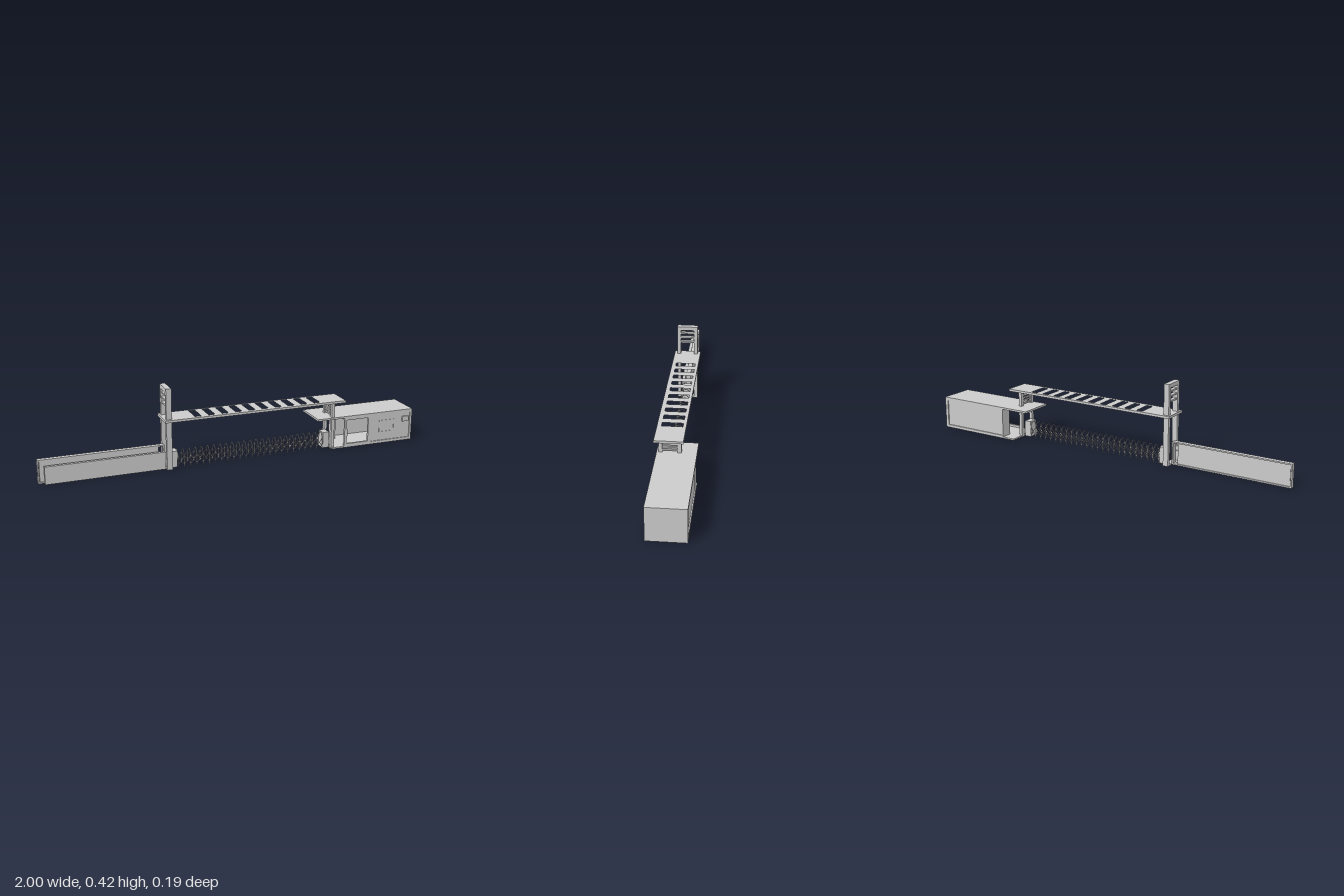
import * as THREE from 'three';

const material = new THREE.MeshStandardMaterial({ color: 0xcccccc, flatShading: true });

// Box given by its limits on each axis
function block(parent, name, x0, x1, y0, y1, z0, z1) {
  const mesh = new THREE.Mesh(new THREE.BoxGeometry(x1 - x0, y1 - y0, z1 - z0), material);
  mesh.position.set((x0 + x1) / 2, (y0 + y1) / 2, (z0 + z1) / 2);
  mesh.name = name;
  parent.add(mesh);
  return mesh;
}

// Four bars round a rectangle facing z
function frame(parent, name, x0, x1, y0, y1, z0, z1, t) {
  block(parent, name, x0, x0 + t, y0, y1, z0, z1);
  block(parent, name, x1 - t, x1, y0, y1, z0, z1);
  block(parent, name, x0 + t, x1 - t, y0, y0 + t, z0, z1);
  block(parent, name, x0 + t, x1 - t, y1 - t, y1, z0, z1);
}

function group(parent, name) {
  const g = new THREE.Group();
  g.name = name;
  parent.add(g);
  return g;
}

// Two posts joined by a head beam and rungs
function ladderFrame(parent, name, x0, x1, top, beam, rungs) {
  const g = group(parent, name);
  block(g, 'frontPost', x0, x1, 0, top, 0.064, 0.082);
  block(g, 'backPost', x0, x1, 0, top, -0.025, -0.006);
  block(g, 'headBeam', x0, x1, top - beam, top, -0.006, 0.064);
  for (const y of rungs) block(g, 'rung', x0 + 0.004, x1 - 0.004, y - 0.004, y + 0.004, -0.006, 0.064);
}

// Thin round bar between two points
function bar(parent, name, a, b, r) {
  const d = b.clone().sub(a);
  const mesh = new THREE.Mesh(new THREE.CylinderGeometry(r, r, d.length(), 5), material);
  mesh.position.copy(a).add(b).multiplyScalar(0.5);
  mesh.quaternion.setFromUnitVectors(new THREE.Vector3(0, 1, 0), d.normalize());
  mesh.name = name;
  parent.add(mesh);
}

function buildWall(root) {
  const g = group(root, 'boundaryWall');
  block(g, 'wallPanel', -0.99, -0.4, 0.005, 0.115, 0.022, 0.034);
  frame(g, 'wallFrame', -1, -0.37, 0, 0.12, 0.016, 0.04, 0.007);
  block(g, 'frontPanel', -0.97, -0.37, 0, 0.09, 0.046, 0.062);
  block(g, 'panelLink', -0.96, -0.38, 0.02, 0.07, 0.034, 0.046);
}

function buildCanopy(root) {
  const shape = new THREE.Shape();
  const rect = (path, x0, x1, z0, z1) => {
    path.moveTo(x0, -z0);
    path.lineTo(x1, -z0);
    path.lineTo(x1, -z1);
    path.lineTo(x0, -z1);
    path.closePath();
  };
  rect(shape, -0.38, 0.597, -0.039, 0.098);
  for (let i = 0; i < 10; i++) {
    const hole = new THREE.Path();
    const x = -0.222 + i * 0.0718;
    rect(hole, x, x + 0.033, -0.024, 0.077);
    shape.holes.push(hole);
  }
  const geometry = new THREE.ExtrudeGeometry(shape, { depth: 0.012, bevelEnabled: false });
  geometry.rotateX(-Math.PI / 2);
  const mesh = new THREE.Mesh(geometry, material);
  mesh.position.y = 0.25;
  mesh.name = 'slottedCanopy';
  root.add(mesh);
}

function buildGate(root) {
  const g = group(root, 'foldingGate');
  const x0 = -0.305, x1 = 0.49, cells = 24, step = (x1 - x0) / cells;
  const zBack = 0.004, zFront = 0.054;
  block(g, 'motorBox', -0.34, -0.308, 0, 0.085, zBack, zFront);
  block(g, 'endBox', 0.492, 0.527, 0, 0.085, zBack, zFront);
  // Arched hoops across the gate
  const arch = new THREE.CatmullRomCurve3([
    [0, 0, zBack], [0, 0.045, zBack], [0, 0.072, 0.012], [0, 0.084, 0.029],
    [0, 0.072, 0.046], [0, 0.045, zFront], [0, 0, zFront],
  ].map((p) => new THREE.Vector3(...p)));
  const hoop = new THREE.TubeGeometry(arch, 18, 0.0022, 5);
  for (let i = 0; i <= cells; i++) {
    const mesh = new THREE.Mesh(hoop, material);
    mesh.position.x = x0 + i * step;
    mesh.name = 'hoop';
    g.add(mesh);
  }
  // Scissor bars on both faces
  for (const z of [zBack, zFront]) {
    for (let i = 0; i < cells; i++) {
      const a = x0 + i * step, b = a + step;
      for (const [ya, yb] of [[0.01, 0.058], [0.058, 0.01]]) {
        bar(g, 'scissorBar', new THREE.Vector3(a, ya, z), new THREE.Vector3(b, yb, z), 0.0014);
      }
    }
  }
}

function buildGuardHouse(root) {
  const g = group(root, 'guardHouse');
  const zb = -0.097, zf = 0.091, top = 0.162;
  block(g, 'floor', 0.53, 1, 0, 0.008, zb, zf);
  block(g, 'roof', 0.445, 1, top, 0.172, zb, zf);
  block(g, 'endWall', 0.99, 1, 0.008, top, zb, zf);
  // Back wall with a recessed panel
  block(g, 'backPanel', 0.605, 0.99, 0.008, top, zb + 0.006, zb + 0.012);
  frame(g, 'backFrame', 0.6, 0.99, 0.008, top, zb, zb + 0.012, 0.007);
  // Front wall with its recessed panel, window and vent box
  block(g, 'frontPanel', 0.755, 0.99, 0.008, top, zf - 0.012, zf - 0.005);
  frame(g, 'frontFrame', 0.75, 0.995, 0.008, top, zf - 0.012, zf, 0.007);
  frame(g, 'windowFrame', 0.805, 0.895, 0.06, 0.125, zf - 0.005, zf - 0.003, 0.003);
  block(g, 'ventBox', 0.942, 0.978, 0.107, 0.135, zf - 0.005, zf + 0.004);
  // Open doorway
  frame(g, 'doorFrame', 0.6, 0.75, 0.008, top, zf - 0.012, zf, 0.012);
  block(g, 'doorHandle', 0.612, 0.616, 0.05, 0.1, zf - 0.006, zf);
  // Open side wall
  block(g, 'sideJamb', 0.6, 0.61, 0.008, top, zb + 0.012, zb + 0.06);
  block(g, 'sideLintel', 0.6, 0.61, 0.15, top, zb + 0.06, zf - 0.012);
}

export function createModel() {
  const root = new THREE.Group();
  root.name = 'gateEntrance';
  buildWall(root);
  ladderFrame(root, 'tower', -0.37, -0.342, 0.418, 0.02, [0.328, 0.354, 0.379]);
  ladderFrame(root, 'canopySupport', 0.526, 0.543, 0.25, 0.011, [0.183, 0.198, 0.212, 0.227]);
  block(root, 'towerSill', -0.37, -0.342, 0, 0.008, -0.006, 0.064);
  buildCanopy(root);
  buildGate(root);
  buildGuardHouse(root);
  return root;
}
